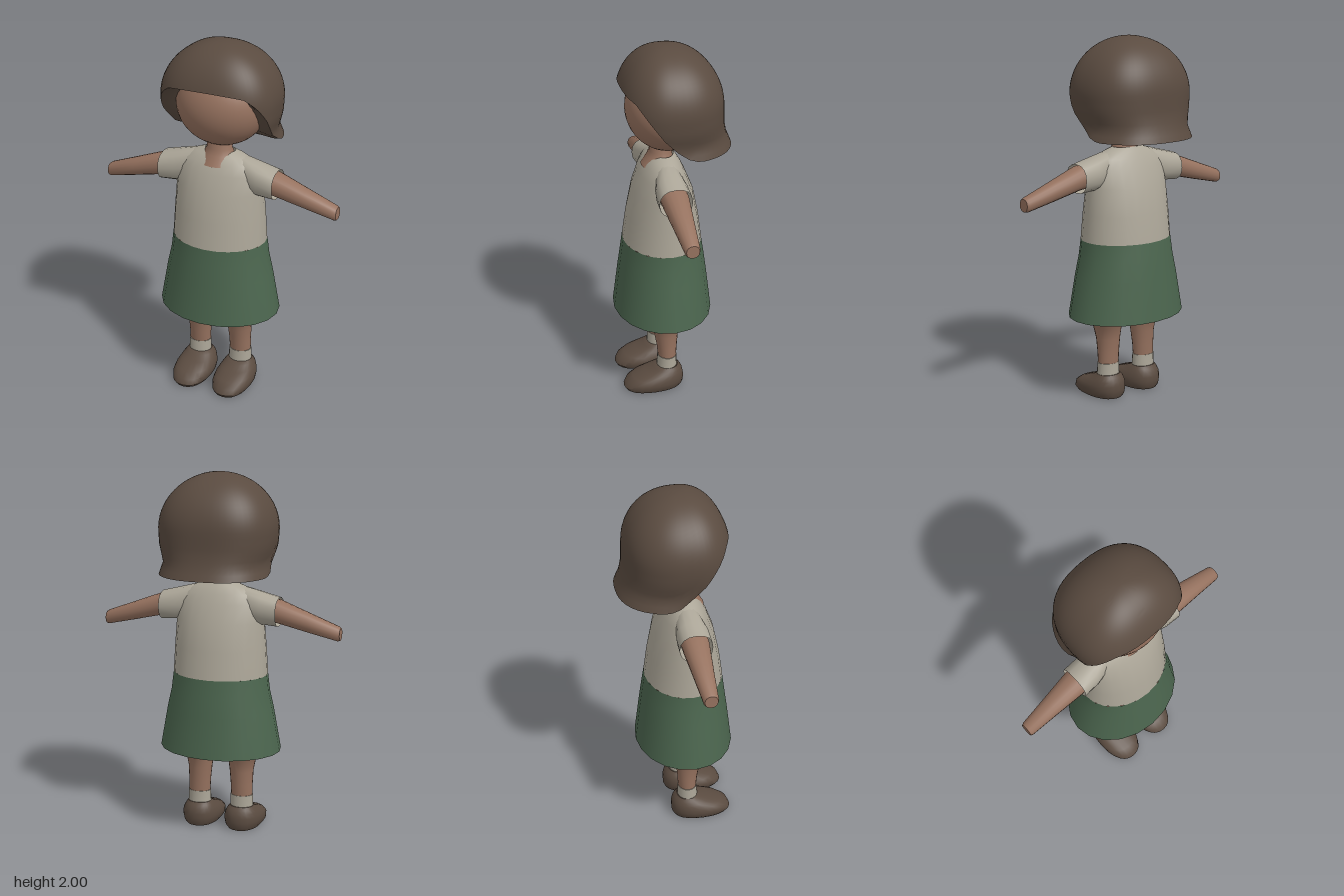
import * as THREE from 'three';
import { toCreasedNormals } from 'three/addons/utils/BufferGeometryUtils.js';

const mat = (name, color, side = THREE.FrontSide) => {
  const m = new THREE.MeshStandardMaterial({ color, side });
  m.name = name;
  return m;
};

// Skin over a list of closed rings, each a list of [x, y, z] points
function skinRings(rings) {
  const n = rings[0].length, index = [];
  for (let i = 0; i < rings.length - 1; i++) {
    for (let j = 0; j < n; j++) {
      const k = (j + 1) % n;
      const a = i * n + j, b = i * n + k, c = b + n, d = a + n;
      index.push(a, b, c, a, c, d);
    }
  }
  const g = new THREE.BufferGeometry();
  g.setAttribute('position', new THREE.Float32BufferAttribute(rings.flat(2), 3));
  g.setIndex(index);
  return g;
}

// Point on a rounded oval at angle a; power 1 is an ellipse, lower is boxier
const oval = (a, power = 1) => [Math.sin(a), Math.cos(a)].map(v => Math.sign(v) * Math.abs(v) ** power);

// Loft upward through rows of [y, half width, front z, back z, centre x]
function loft(rows, sides = 20, power = 1) {
  return skinRings(rows.map(([y, rx, zf, zb, cx = 0]) =>
    Array.from({ length: sides }, (_, j) => {
      const [s, c] = oval((j / sides) * Math.PI * 2, power);
      return [cx + rx * s, y, (zf + zb) / 2 + ((zf - zb) / 2) * c];
    })));
}

// Piecewise linear lookup in [key, value] pairs with rising keys
function lookup(table, v) {
  if (v <= table[0][0]) return table[0][1];
  for (let i = 1; i < table.length; i++) {
    const [k0, v0] = table[i - 1], [k1, v1] = table[i];
    if (v <= k1) return v0 + ((v1 - v0) * (v - k0)) / (k1 - k0);
  }
  return table[table.length - 1][1];
}

// Bob haircut: domed shell with a slanted rim, flared ends and a closed underside
function hairGeometry() {
  const sides = 56, steps = 26, power = 0.82;
  const rimHeight = [[-0.05, 1.465], [0, 1.49], [0.1, 1.6], [0.19, 1.73], [0.225, 1.775], [0.27, 1.795]];
  const sideWidth = [[1.465, 0.31], [1.53, 0.288], [1.62, 0.314], [1.7, 0.32]];
  const backDepth = [[1.465, 0.345], [1.53, 0.318], [1.6, 0.303], [1.7, 0.3]];
  const point = (a, y) => {
    const [s, c] = oval(a, power);
    const dome = Math.sqrt(Math.max(0, 1 - (Math.max(0, y - 1.7) / 0.3) ** 2));
    const depth = c > 0 ? 0.25 : lookup(backDepth, y);
    return [lookup(sideWidth, y) * dome * s, y, 0.03 + depth * dome * c];
  };
  const angles = Array.from({ length: sides }, (_, j) => (j / sides) * Math.PI * 2);
  const rim = angles.map(a => lookup(rimHeight, 0.03 + 0.24 * oval(a, power)[1]));
  const inset = (scale, lift) => angles.map((a, j) => {
    const [x, y, z] = point(a, rim[j]);
    return [x * scale, y + lift, 0.03 + (z - 0.03) * scale];
  });
  const rings = [inset(0.4, 0.03), inset(0.9, 0)];
  for (let i = steps; i >= 0; i--) {
    const t = 1 - Math.cos((i / steps) * Math.PI / 2);
    rings.push(angles.map((a, j) => point(a, 2 - (2 - rim[j]) * t)));
  }
  return skinRings(rings);
}

export function createModel() {
  const model = new THREE.Group();
  model.name = 'girl';
  const skin = mat('skin', 0x96725f);
  const brown = mat('dark brown', 0x5a4b40);
  const cream = mat('cream cloth', 0xaca698, THREE.DoubleSide);
  const green = mat('green cloth', 0x4b654e, THREE.DoubleSide);

  const add = (name, geometry, material, crease = 0.8) => {
    const mesh = new THREE.Mesh(toCreasedNormals(geometry, crease), material);
    mesh.name = name;
    model.add(mesh);
  };
  // Add a part on the left and its mirror image on the right
  const addPair = (name, geometry, material, crease) => {
    const mirrored = geometry.clone().scale(-1, 1, 1);
    mirrored.index.array.reverse();
    add('left' + name, geometry, material, crease);
    add('right' + name, mirrored, material, crease);
  };

  // Head, neck and hair
  const head = new THREE.SphereGeometry(1, 36, 24).scale(0.25, 0.23, 0.22).translate(0, 1.662, 0.02);
  add('head', head, skin, 1);
  add('neck', loft([
    [1.34, 0.11, 0.16, -0.03], [1.39, 0.085, 0.128, -0.01], [1.42, 0.07, 0.115, -0.005], [1.5, 0.07, 0.11, -0.01],
  ]), skin);
  add('hair', hairGeometry(), brown, 0.9);

  // Shirt body, open at the neck and waist
  add('shirt', loft([
    [0.9, 0.265, 0.265, -0.165], [1.05, 0.257, 0.243, -0.145], [1.2, 0.247, 0.21, -0.115],
    [1.3, 0.24, 0.172, -0.075], [1.35, 0.21, 0.147, -0.052], [1.385, 0.145, 0.122, -0.03],
    [1.405, 0.085, 0.1, -0.012],
  ], 24), cream, 1);

  // Skirt, open below
  add('skirt', loft([
    [0.47, 0.342, 0.322, -0.22], [0.7, 0.3, 0.293, -0.193], [0.8, 0.277, 0.279, -0.18], [0.9, 0.265, 0.265, -0.165],
  ], 20), green);

  // Sleeves and arms, lofted upright and then laid along x
  const sideways = g => g.rotateZ(-Math.PI / 2);
  addPair('Sleeve', sideways(loft([
    [0.07, 0.09, 0.1, -0.005, -1.31], [0.16, 0.09, 0.12, -0.025, -1.292],
    [0.24, 0.087, 0.137, -0.037, -1.273], [0.333, 0.078, 0.138, -0.038, -1.258],
  ], 16, 0.85)), cream);
  addPair('Arm', sideways(loft([
    [0.2, 0.066, 0.125, -0.025, -1.28], [0.33, 0.064, 0.122, -0.022, -1.262],
    [0.5, 0.052, 0.105, -0.005, -1.21], [0.66, 0.04, 0.091, 0.01, -1.162],
    [0.672, 0.034, 0.085, 0.016, -1.16], [0.672, 0, 0.05, 0.05, -1.16],
  ], 16, 0.9)), skin);

  // Legs
  addPair('Leg', loft([
    [0.18, 0.06, 0.1, 0, 0.125], [0.26, 0.062, 0.108, -0.005, 0.124], [0.34, 0.067, 0.122, -0.012, 0.122],
    [0.41, 0.078, 0.142, -0.025, 0.124], [0.47, 0.095, 0.17, -0.06, 0.138],
    [0.58, 0.115, 0.2, -0.09, 0.135], [0.8, 0.12, 0.21, -0.1, 0.13], [0.8, 0, 0.05, 0.05, 0.13],
  ], 20), skin);

  // Socks
  addPair('Sock', loft([
    [0.09, 0.068, 0.112, -0.008, 0.125], [0.14, 0.065, 0.108, -0.004, 0.125],
    [0.2, 0.064, 0.104, -0.003, 0.125], [0.2, 0.055, 0.096, 0.004, 0.125],
  ], 20), cream);

  // Shoes
  addPair('Shoe', loft([
    [0.003, 0, 0.12, 0.12, 0.124], [0.003, 0.092, 0.292, -0.028, 0.124], [0.02, 0.105, 0.302, -0.038, 0.124],
    [0.05, 0.11, 0.288, -0.041, 0.124], [0.075, 0.105, 0.25, -0.04, 0.124],
    [0.1, 0.092, 0.18, -0.035, 0.124], [0.12, 0.078, 0.13, -0.022, 0.124], [0.135, 0.066, 0.108, -0.008, 0.125],
    [0.135, 0, 0.05, 0.05, 0.125],
  ], 24, 0.88), brown);

  return model;
}
